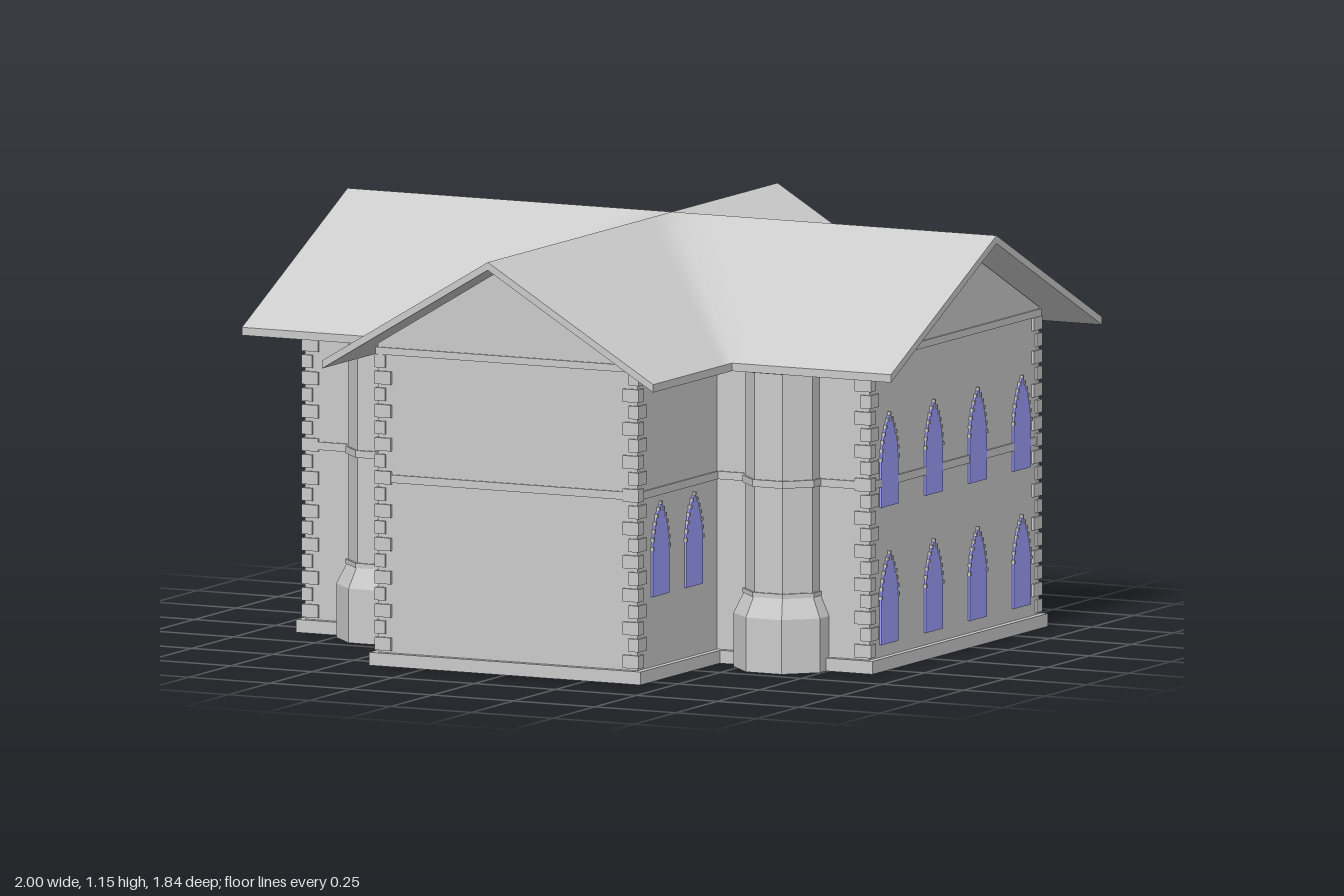
import * as THREE from 'three';

const stone = new THREE.MeshStandardMaterial({ color: 0xcccccc, flatShading: true });
const roofMat = new THREE.MeshStandardMaterial({ color: 0xcccccc, side: THREE.DoubleSide });
const glass = new THREE.MeshStandardMaterial({ color: 0xa0a0ff });

const RIDGE = 1.155, EAVE = 0.85, MID_Z = -0.18;

function add(parent, name, geo, mat = stone, x = 0, y = 0, z = 0) {
  const m = new THREE.Mesh(geo, mat);
  m.name = name;
  m.position.set(x, y, z);
  parent.add(m);
  return m;
}

const box = (parent, name, w, h, d, x, y, z) =>
  add(parent, name, new THREE.BoxGeometry(w, h, d), stone, x, y, z);

function extrude(points, depth) {
  const shape = new THREE.Shape(points.map(([x, y]) => new THREE.Vector2(x, y)));
  return new THREE.ExtrudeGeometry(shape, { depth, bevelEnabled: false });
}

// Rectangular grid surface from a function of u and v
function sheet(f, nu, nv) {
  const pos = [], idx = [];
  for (let j = 0; j <= nv; j++)
    for (let i = 0; i <= nu; i++) pos.push(...f(i / nu, j / nv));
  for (let j = 0; j < nv; j++)
    for (let i = 0; i < nu; i++) {
      const a = j * (nu + 1) + i, b = a + nu + 1;
      idx.push(a, b, a + 1, a + 1, b, b + 1);
    }
  const g = new THREE.BufferGeometry();
  g.setAttribute('position', new THREE.Float32BufferAttribute(pos, 3));
  g.setIndex(idx);
  g.computeVertexNormals();
  return g;
}

// One quarter of the crossed roof: gable pitch and main pitch, joined smoothly at the valley
function roofQuarter(parent, sx, sz, reach) {
  const T = 0.022;
  const at = (u, v, drop = 0) => {
    const s = u * 2 - 1, vx = 0.51 * v, vz = 0.63 * v;
    const x = s > 0 ? vx + (1 - vx) * s : vx;
    const z = s < 0 ? vz + (reach - vz) * -s : vz;
    return [sx * x, RIDGE - (RIDGE - EAVE) * v - drop, MID_Z + sz * z];
  };
  add(parent, 'roofTop', sheet((u, v) => at(u, v), 16, 8), roofMat);
  add(parent, 'roofUnderside', sheet((u, v) => at(u, v, T), 16, 8), roofMat);
  add(parent, 'eaveMain', sheet((u, v) => at(0.5 + u / 2, 1, v * T), 1, 1), roofMat);
  if (reach > 0.64) add(parent, 'eaveGable', sheet((u, v) => at(u / 2, 1, v * T), 1, 1), roofMat);
  for (const end of [0, 1])
    add(parent, 'vergeBoard', sheet((u, v) => at(end, u, v * T), 8, 1), roofMat);
}

// Pentagonal wall block under a gable
const gableBlock = (half, peak, slope, depth) => extrude(
  [[-half, 0], [half, 0], [half, peak - slope * half], [0, peak], [-half, peak - slope * half]], depth);

// Pointed window with small stones round the arch, facing +z
function lancet(w, h) {
  const g = new THREE.Group(), a = w / 2, spring = h * 0.52;
  g.name = 'window';
  const s = new THREE.Shape();
  s.moveTo(-a, 0);
  s.lineTo(a, 0);
  s.lineTo(a, spring);
  s.quadraticCurveTo(a * 0.85, h * 0.82, 0, h);
  s.quadraticCurveTo(-a * 0.85, h * 0.82, -a, spring);
  add(g, 'pane', new THREE.ExtrudeGeometry(s, { depth: 0.016, bevelEnabled: false, curveSegments: 8 }), glass, 0, 0, -0.01);
  const arch = new THREE.QuadraticBezierCurve(
    new THREE.Vector2(a, spring), new THREE.Vector2(a * 0.85, h * 0.82), new THREE.Vector2(0, h));
  for (let i = 0; i <= 6; i++) {
    const p = arch.getPoint(i / 6);
    for (const side of i < 6 ? [-1, 1] : [1])
      box(g, 'archStone', 0.007, 0.01, 0.012, side * p.x, p.y, 0.003);
  }
  return g;
}

function placeWindow(parent, x, y, z, h, turn) {
  const w = lancet(0.1, h);
  w.position.set(x, y, z);
  w.rotation.y = turn;
  parent.add(w);
}

// Alternating corner stones
function quoins(parent, x, z, top) {
  const sx = Math.sign(x), sz = z > MID_Z ? 1 : -1, P = 0.007;
  for (let i = 0, y = 0.06; y < top; i++, y += 0.046) {
    const long = i % 2 ? 0.032 : 0.05;
    box(parent, 'quoin', long, 0.036, 0.082 - long, x + sx * (P - long / 2), y, z + sz * (P - (0.082 - long) / 2));
  }
}

// Octagonal corner tower with flared base, rings and cap
function tower(parent, x, z) {
  const t = new THREE.Group();
  t.name = 'tower';
  t.position.set(x, 0, z);
  const k = 1 / Math.cos(Math.PI / 8);
  const stage = (name, r0, r1, y0, y1) => {
    const g = new THREE.CylinderGeometry(r1 * k, r0 * k, y1 - y0, 8);
    g.rotateY(Math.PI / 8);
    add(t, name, g, stone, 0, (y0 + y1) / 2, 0);
  };
  stage('base', 0.133, 0.133, 0, 0.15);
  stage('baseTaper', 0.133, 0.105, 0.15, 0.21);
  stage('shaft', 0.104, 0.104, 0.2, 0.84);
  stage('lowerRing', 0.11, 0.11, 0.205, 0.218);
  stage('middleRing', 0.11, 0.11, 0.51, 0.53);
  stage('cap', 0.11, 0.11, 0.825, 0.845);
  parent.add(t);
}

export function createModel() {
  const model = new THREE.Group();
  model.name = 'house';

  // Wall blocks
  const main = add(model, 'mainWalls', gableBlock(0.505, 1.13, 0.484, 1.74), stone, -0.87, 0, MID_Z);
  main.rotation.y = Math.PI / 2;
  add(model, 'wingWalls', gableBlock(0.4, 1.13, 0.6, 1.484), stone, 0, 0, -0.684);

  // Plinth and string courses
  const course = (name, y, h, out) => {
    box(model, name, 1.74 + 2 * out, h, 1.01 + 2 * out, 0, y, MID_Z);
    box(model, name, 0.8 + 2 * out, h, 0.8 + out, 0, y, 0.4 + out / 2);
  };
  course('plinth', 0.018, 0.036, 0.018);
  course('stringCourse', 0.518, 0.022, 0.005);
  course('upperCourse', 0.87, 0.02, 0.005);

  // Roof quarters
  const roof = new THREE.Group();
  roof.name = 'roof';
  model.add(roof);
  for (const sx of [-1, 1]) {
    roofQuarter(roof, sx, 1, 1.1);
    roofQuarter(roof, sx, -1, 0.63);
  }

  // Towers and corner stones
  for (const sx of [-1, 1]) {
    for (const z of [0.325, -0.685]) {
      tower(model, sx * 0.612, z);
      quoins(model, sx * 0.87, z, 0.86);
    }
    quoins(model, sx * 0.4, 0.8, 0.88);
  }

  // Windows
  for (const z of [0.215, -0.05, -0.312, -0.575]) {
    placeWindow(model, 0.87, 0.07, z, 0.25, Math.PI / 2);
    placeWindow(model, 0.87, 0.45, z, 0.255, Math.PI / 2);
  }
  for (const z of [0.67, 0.47]) placeWindow(model, 0.4, 0.23, z, 0.255, Math.PI / 2);
  for (const x of [0.23, -0.23]) placeWindow(model, x, 0.42, -0.685, 0.28, Math.PI);

  // Door surround
  for (const x of [-0.075, 0.075]) box(model, 'doorJamb', 0.016, 0.24, 0.02, x, 0.12, -0.7);
  box(model, 'doorLintel', 0.166, 0.016, 0.02, 0, 0.248, -0.7);
  box(model, 'door', 0.14, 0.24, 0.02, 0, 0.12, -0.696);

  // Porch
  const porch = new THREE.Group();
  porch.name = 'porch';
  model.add(porch);
  add(porch, 'porchRoof', extrude(
    [[-0.2, 0.302], [0, 0.395], [0.2, 0.302], [0.2, 0.318], [0, 0.412], [-0.2, 0.318]], 0.235), stone, 0, 0, -0.917);
  add(porch, 'porchGable', extrude([[-0.17, 0.312], [0.17, 0.312], [0, 0.396]], 0.015), stone, 0, 0, -0.883);
  for (const x of [-0.145, 0.145]) {
    box(porch, 'porchPost', 0.02, 0.32, 0.02, x, 0.16, -0.875);
    box(porch, 'postFoot', 0.03, 0.03, 0.03, x, 0.015, -0.875);
    box(porch, 'postCap', 0.03, 0.014, 0.03, x, 0.3, -0.875);
  }
  return model;
}
